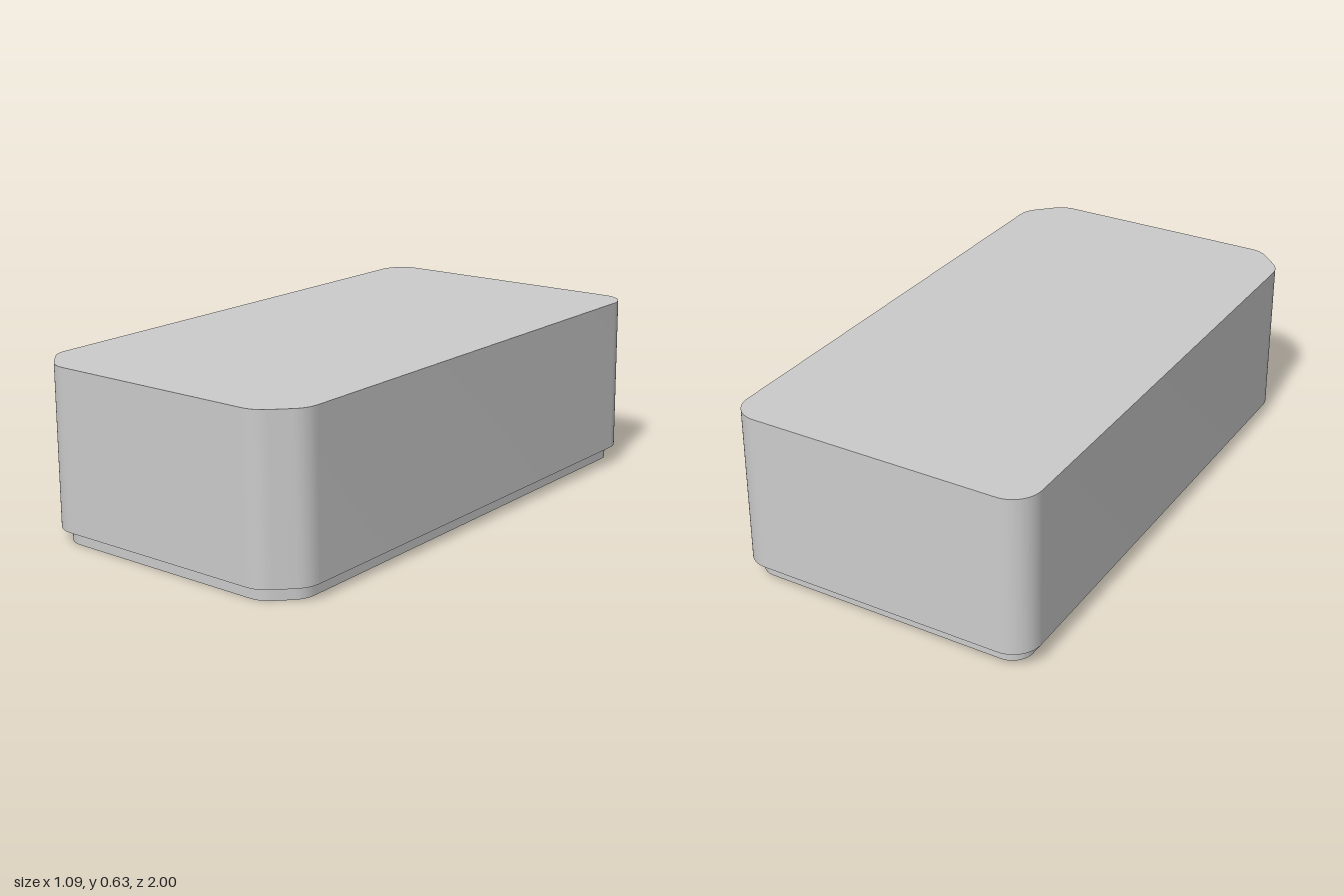
import * as THREE from 'three';
import { toCreasedNormals } from 'three/addons/utils/BufferGeometryUtils.js';

const TILT = 0.0097;             // the case leans very slightly forward
const LIP_Y = 0.01, SHOULDER_Y = 0.06, TOP_Y = 0.622;
const material = new THREE.MeshStandardMaterial({ color: 0xcccccc });

// Plan outline (x, z): round corners at the back, softened chamfers at the front
function outline(w, d, r, c, s, Type = THREE.Shape) {
  const p = new Type();
  const k = s * Math.SQRT1_2;
  p.moveTo(-w + r, -d);
  p.lineTo(w - r, -d);
  p.absarc(w - r, -d + r, r, -Math.PI / 2, 0, false);
  p.lineTo(w, d - c - s);
  p.quadraticCurveTo(w, d - c, w - k, d - c + k);
  p.lineTo(w - c + k, d - k);
  p.quadraticCurveTo(w - c, d, w - c - s, d);
  p.lineTo(-w + c + s, d);
  p.quadraticCurveTo(-w + c, d, -w + c - k, d - k);
  p.lineTo(-w + k, d - c + k);
  p.quadraticCurveTo(-w, d - c, -w, d - c - s);
  p.lineTo(-w, -d + r);
  p.absarc(-w + r, -d + r, r, Math.PI, Math.PI * 1.5, false);
  return p;
}

// Extrude a plan shape between two heights
function slab(shape, y0, y1) {
  const g = new THREE.ExtrudeGeometry(shape, { depth: y1 - y0, bevelEnabled: false, curveSegments: 14 });
  g.rotateX(Math.PI / 2);
  g.translate(0, y1, 0);
  return g;
}

export function createModel() {
  const model = new THREE.Group();
  model.name = 'enclosure';
  const add = (name, geometry) => {
    const mesh = new THREE.Mesh(toCreasedNormals(geometry, 0.6), material);
    mesh.name = name;
    model.add(mesh);
    return mesh;
  };

  // Main body with a slight draft toward the top
  const body = slab(outline(0.546, 0.9995, 0.1, 0.115, 0.045), SHOULDER_Y, TOP_Y);
  const pos = body.attributes.position;
  for (let i = 0; i < pos.count; i++) {
    const t = (pos.getY(i) - SHOULDER_Y) / (TOP_Y - SHOULDER_Y);
    pos.setX(i, pos.getX(i) * (1 - 0.006 * t));
    pos.setZ(i, pos.getZ(i) * (1 - 0.003 * t));
  }
  add('body', body);

  // Inset lip around the underside
  const lip = outline(0.514, 0.967, 0.075, 0.1, 0.04);
  lip.holes.push(outline(0.48, 0.933, 0.045, 0.085, 0.035, THREE.Path));
  add('lip', slab(lip, LIP_Y, SHOULDER_Y));

  for (const side of [-1, 1]) {
    const label = side > 0 ? 'left' : 'right';

    // Hollow screw bosses in the corners
    for (const [end, x, z] of [['Front', 0.415, 0.85], ['Back', 0.434, -0.882]]) {
      const ring = new THREE.Shape().absarc(side * x, z, 0.08, 0, Math.PI * 2, false);
      ring.holes.push(new THREE.Path().absarc(side * x, z, 0.048, 0, Math.PI * 2, true));
      add(label + end + 'Boss', slab(ring, LIP_Y + 0.0005, SHOULDER_Y));
    }

    // Curved rib: straight run from the wall, then an arc sweeping to the back lip
    const a0 = Math.atan2(-0.07, 0.3), a1 = -Math.PI / 2;
    const rib = new THREE.Shape();
    rib.moveTo(0.485, -0.69);
    rib.lineTo(0.3, -0.69);
    rib.absarc(0, -0.62, 0.308, a0, a1, true);
    rib.lineTo(0, -0.95);
    rib.absarc(0, -0.62, 0.34, a1, Math.asin(-0.105 / 0.34), false);
    rib.lineTo(0.485, -0.725);
    const pts = rib.getPoints(14).map(p => new THREE.Vector2(side * p.x, p.y));
    add(label + 'CurvedRib', slab(new THREE.Shape(pts), LIP_Y + 0.012, SHOULDER_Y));

    // Short cross rib on the side wall
    const length = side > 0 ? 0.19 : 0.11;
    const cross = new THREE.BoxGeometry(length, 0.038, 0.04);
    cross.translate(side * (0.49 - length / 2), SHOULDER_Y - 0.019, -0.46);
    add(label + 'CrossRib', cross);
  }

  // Small locating peg on the underside
  const peg = new THREE.CylinderGeometry(0.024, 0.024, 0.016, 20);
  peg.translate(0.336, SHOULDER_Y - 0.008, -0.317);
  add('locatingPeg', peg);

  model.rotation.x = TILT;
  return model;
}
